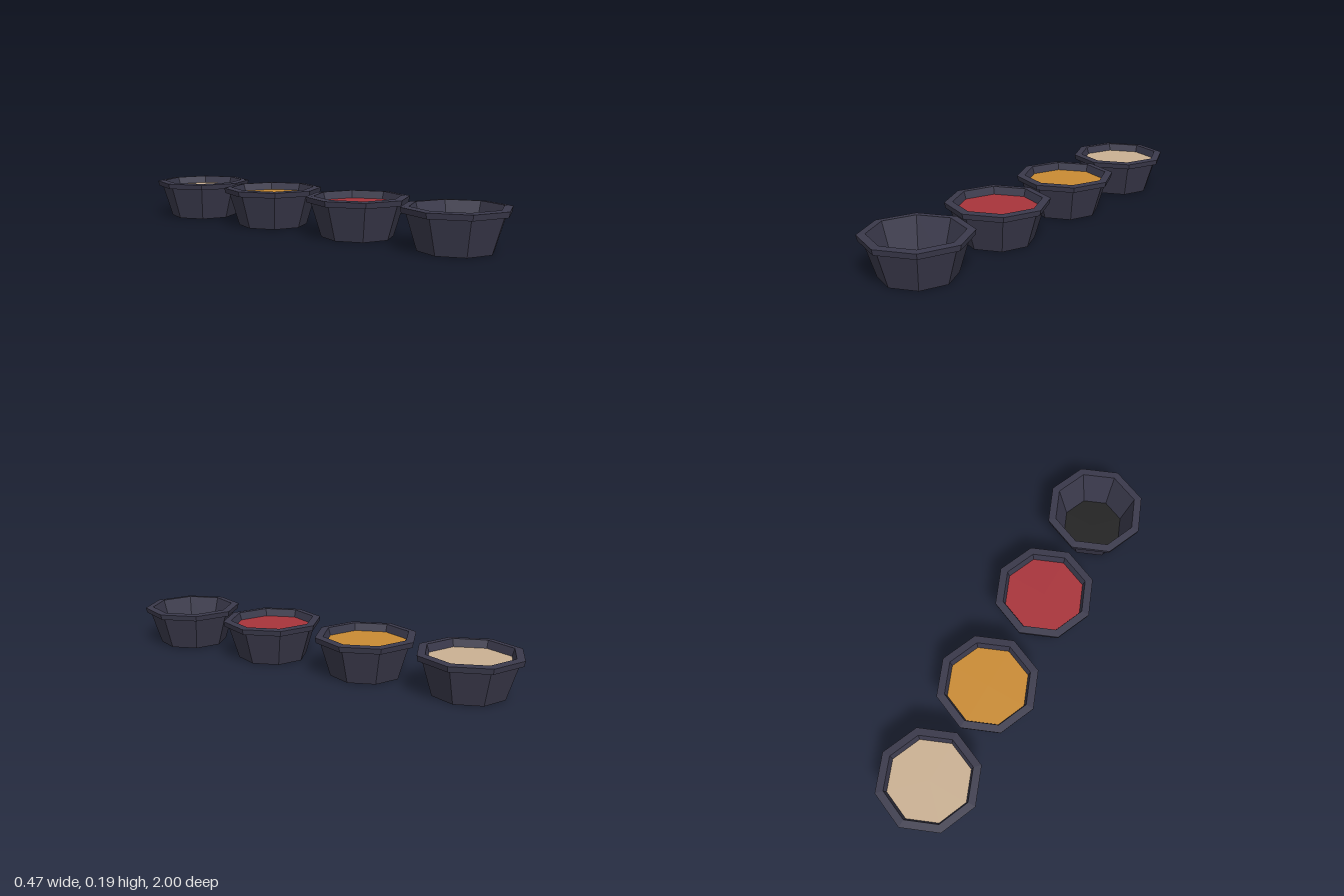
import * as THREE from 'three';

const SIDES = 8;

function material(name, color) {
  const m = new THREE.MeshStandardMaterial({ color });
  m.name = name;
  return m;
}

// Eight-sided disc facing up
function disc(name, radius, y, mat) {
  const geo = new THREE.CircleGeometry(radius, SIDES).rotateX(-Math.PI / 2);
  const mesh = new THREE.Mesh(geo, mat);
  mesh.name = name;
  mesh.position.y = y;
  return mesh;
}

export function createModel() {
  const plastic = material('dark plastic', 0x3a394b);
  plastic.flatShading = true;

  // Profile: underside, outer wall, rim, inner wall, floor
  const profile = [
    [0, 0], [0.165, 0], [0.213, 0.156], [0.232, 0.157], [0.237, 0.182],
    [0.2, 0.185], [0.147, 0.014], [0, 0.014],
  ].map(([r, y]) => new THREE.Vector2(r, y));
  const cupGeometry = new THREE.LatheGeometry(profile, SIDES);

  // Cups in a row from back to front, the last one empty
  const cups = [
    { name: 'creamCup', z: -0.763, fill: 'creamSauce', mat: material('cream tan', 0xcab092), r: 0.19, y: 0.15 },
    { name: 'mustardCup', z: -0.263, fill: 'mustardSauce', mat: material('mustard orange', 0xc98b33), r: 0.19, y: 0.15 },
    { name: 'redCup', z: 0.257, fill: 'redSauce', mat: material('sauce red', 0xa8343b), r: 0.19, y: 0.15 },
    { name: 'emptyCup', z: 0.763, fill: 'cupFloor', mat: material('floor black', 0x232323), r: 0.148, y: 0.017 },
  ];

  const model = new THREE.Group();
  model.name = 'sauceCups';
  for (const c of cups) {
    const cup = new THREE.Group();
    cup.name = c.name;
    cup.position.z = c.z;
    const shell = new THREE.Mesh(cupGeometry, plastic);
    shell.name = 'cupShell';
    cup.add(shell, disc(c.fill, c.r, c.y, c.mat));
    model.add(cup);
  }
  return model;
}
